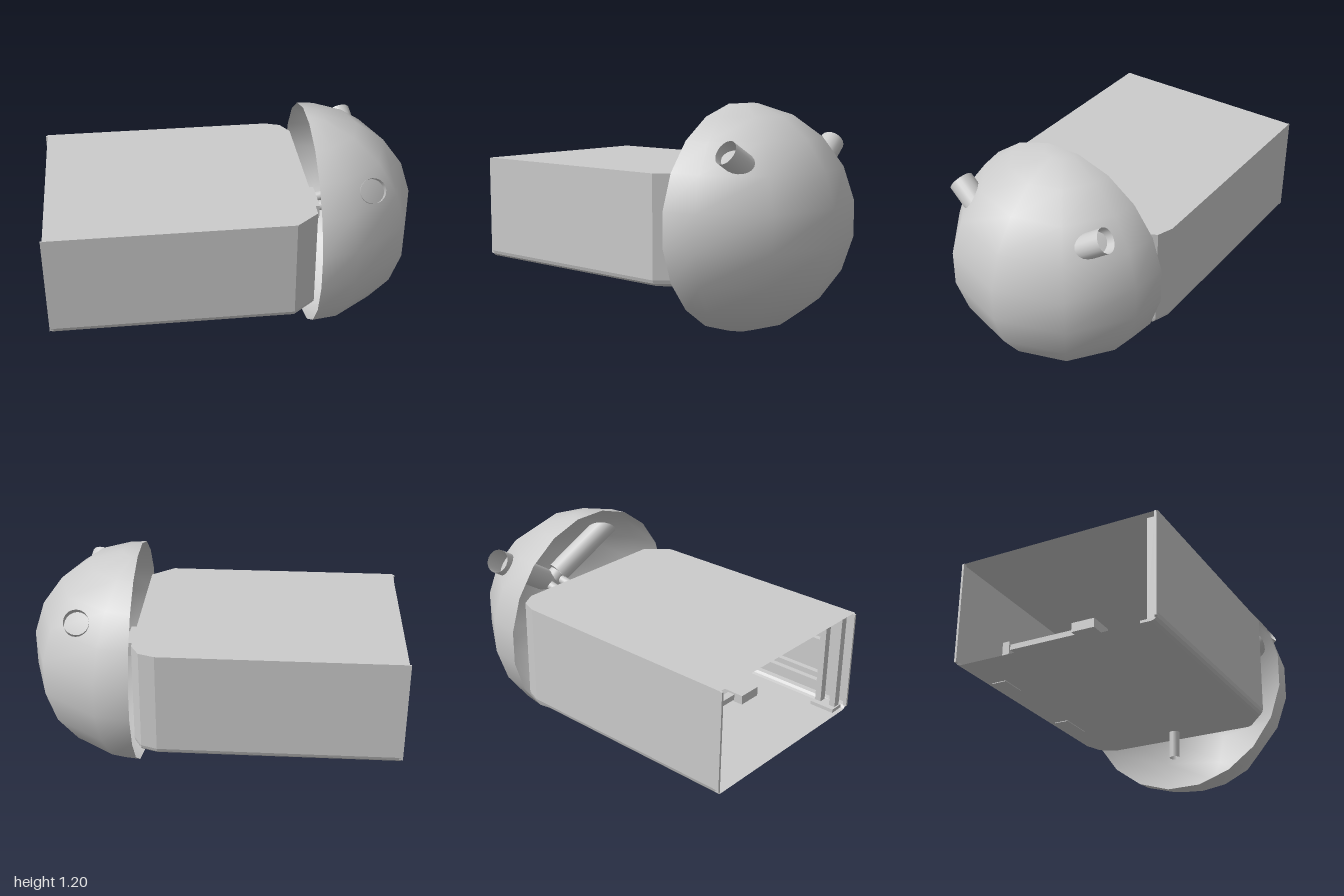
import * as THREE from 'three';

const grey = new THREE.MeshStandardMaterial({ color: 0xcccccc, side: THREE.DoubleSide });

// Skin a list of equal-length open cross-sections
function loft(rings, smooth) {
  const n = rings[0].length, index = [];
  for (let i = 0; i < rings.length - 1; i++) {
    for (let j = 0; j < n - 1; j++) {
      const a = i * n + j, b = a + n;
      index.push(a, b, a + 1, b, b + 1, a + 1);
    }
  }
  let geo = new THREE.BufferGeometry();
  geo.setAttribute('position', new THREE.Float32BufferAttribute(rings.flat(2), 3));
  geo.setIndex(index);
  if (!smooth) geo = geo.toNonIndexed();
  geo.computeVertexNormals();
  return geo;
}

export function createModel() {
  const model = new THREE.Group();
  const add = (name, geo, x = 0, y = 0, z = 0) => {
    const mesh = new THREE.Mesh(geo, grey);
    mesh.name = name;
    mesh.position.set(x, y, z);
    model.add(mesh);
    return mesh;
  };
  const box = (name, w, h, d, x, y, z) => add(name, new THREE.BoxGeometry(w, h, d), x, y, z);
  // Cylinder between two points
  const rod = (name, from, to, radius, open = false) => {
    const a = new THREE.Vector3(...from), b = new THREE.Vector3(...to);
    const mesh = add(name, new THREE.CylinderGeometry(radius, radius, a.distanceTo(b), 20, 1, open));
    mesh.position.copy(a).lerp(b, 0.5);
    mesh.quaternion.setFromUnitVectors(new THREE.Vector3(0, 1, 0), b.sub(a).normalize());
    return mesh;
  };

  // Housing: chamfered footprint, open at -x, with rolled lower edges
  const footprint = [[-0.99, 0.54], [0.28, 0.54], [0.4, 0.44], [0.4, -0.46], [0.355, -0.54], [0.27, -0.57], [-0.99, -0.57]];
  const section = (y, inset) => footprint.map(([x, z]) => [x, y, z - Math.sign(z) * inset]);
  add('housingWalls', loft([section(0.865, 0), section(0.325, 0), section(0.307, 0.006), section(0.295, 0.018), section(0.29, 0.035)]));
  const plate = (name, y, inset) => {
    const pts = section(y, inset).map(([x, , z]) => new THREE.Vector2(x, -z));
    add(name, new THREE.ShapeGeometry(new THREE.Shape(pts)).rotateX(-Math.PI / 2), 0, y, 0);
  };
  plate('housingRoof', 0.865, 0);
  plate('housingFloor', 0.29, 0.035);
  box('endPanel', 0.012, 0.5, 0.77, 0.402, 0.58, -0.015);

  // Rear opening lips and corner post
  box('openingLip', 0.02, 0.55, 0.012, -0.99, 0.585, 0.532);
  box('openingLip', 0.02, 0.55, 0.012, -0.99, 0.585, -0.562);
  for (const dx of [-0.045, 0.045]) box('cornerPost', 0.035, 0.56, 0.04, -0.9 + dx, 0.575, 0.49);
  box('cornerPostFoot', 0.14, 0.02, 0.08, -0.9, 0.305, 0.48);

  // Paired rails on the inner wall
  for (const [x, length] of [[-0.57, 0.5], [0.04, 0.46]]) {
    for (const y of [0.4, 0.45, 0.65, 0.69]) box('wallRail', length, 0.015, 0.03, x, y, 0.523);
  }

  // Inner brackets
  box('bracketFoot', 0.14, 0.012, 0.08, -0.67, 0.292, -0.48);
  box('bracketFoot', 0.19, 0.012, 0.08, -0.045, 0.292, -0.48);
  box('bracketPost', 0.06, 0.24, 0.04, -0.67, 0.41, -0.48);
  box('bracketArm', 0.04, 0.03, 0.5, -0.67, 0.5, -0.23);
  box('bracketHead', 0.14, 0.05, 0.13, -0.67, 0.5, 0);

  // Drain pipe under the floor
  rod('drainPipe', [0.293, 0.14, 0], [0.293, 0.3, 0], 0.028, true);

  // Hollow half dome: latitudes every 18 degrees, coarser turns
  const R = 0.605, rad = Math.PI / 180;
  const turns = [90, 72, 36, 0, -36, -72, -90];
  const domeRing = (y, r) => turns.map(t => [0.403 + r * Math.cos(t * rad), 0.6 + y, r * Math.sin(t * rad)]);
  const rings = [];
  for (let lat = 81; lat >= -81; lat -= 18) rings.push(domeRing(R * Math.sin(lat * rad), R * Math.cos(lat * rad)));
  const cap = R * Math.sin(81 * rad);
  add('dome', loft([domeRing(cap, 0.0001), ...rings, domeRing(-cap, 0.0001)], true));

  // Two open tubes through the dome, with end fittings on a hub
  for (const s of [1, -1]) {
    rod('domeTube', [0.675, 0.985, 0.45 * s], [0.75, 0.73, 0.06 * s], 0.065, true);
    rod('tubeCoupling', [0.75, 0.73, 0.06 * s], [0.755, 0.7, 0.02 * s], 0.05);
    rod('tubeSupport', [0.74, 0.71, 0.05 * s], [0.41, 0.65, 0.05 * s], 0.025);
  }
  box('supportBlock', 0.08, 0.08, 0.2, 0.44, 0.655, 0);

  return model;
}
